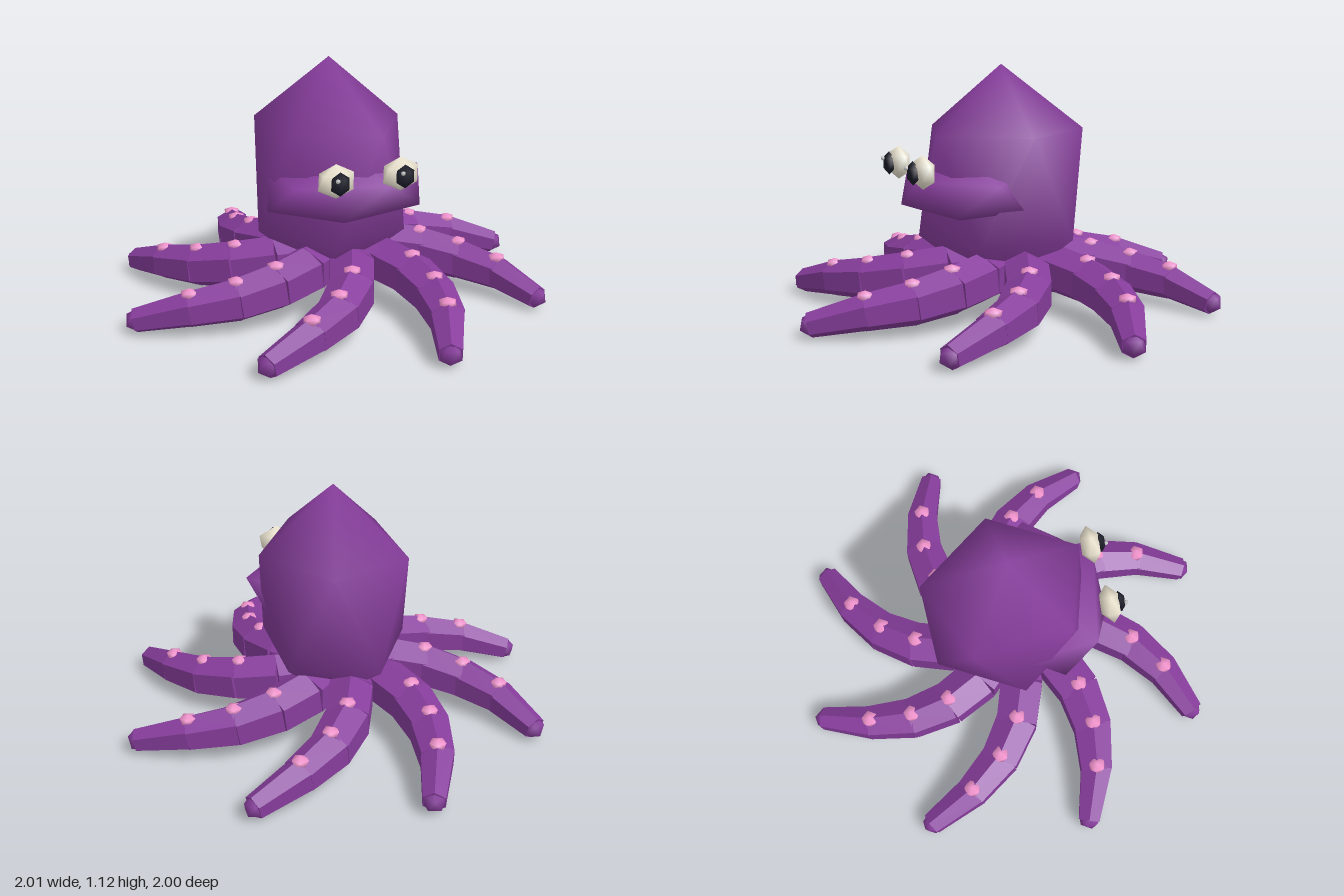
import * as THREE from 'three';

const material = (color, flatShading = false) => new THREE.MeshStandardMaterial({ color, flatShading });
const skin = material(0x873d9c);
const facetedSkin = material(0x873d9c, true);
const pink = material(0xf092cc);
const ivory = material(0xf0e8d4);
const black = material(0x1b1b28);
const white = material(0xffffff);

// Smooth-shaded icosahedron with a corner at each pole
function makeBlob() {
  const points = [0, 1, 0];
  const index = [];
  const ring = 2 / Math.sqrt(5);
  for (const [y, turn] of [[ring / 2, 0], [-ring / 2, Math.PI / 5]]) {
    for (let i = 0; i < 5; i++) {
      const a = turn + (i * Math.PI * 2) / 5;
      points.push(ring * Math.cos(a), y, -ring * Math.sin(a));
    }
  }
  points.push(0, -1, 0);
  for (let i = 0; i < 5; i++) {
    const n = (i + 1) % 5;
    const [u, un, l, ln] = [1 + i, 1 + n, 6 + i, 6 + n];
    index.push(0, u, un, u, l, un, l, ln, un, 11, ln, l);
  }
  const geometry = new THREE.BufferGeometry();
  geometry.setAttribute('position', new THREE.Float32BufferAttribute(points, 3));
  geometry.setIndex(index);
  geometry.computeVertexNormals();
  return geometry;
}

const blobGeometry = makeBlob();

function blob(name, mat, position, radii) {
  const mesh = new THREE.Mesh(blobGeometry, mat);
  mesh.name = name;
  mesh.position.set(...position);
  mesh.scale.set(...radii);
  return mesh;
}

// One arm: tapering six-sided segments that curl clockwise outward
function makeTentacle(angle) {
  const tentacle = new THREE.Group();
  tentacle.name = 'tentacle';
  const distance = [0.1, 0.27, 0.44, 0.61, 0.78, 0.965];
  const height = [0.195, 0.19, 0.167, 0.138, 0.113, 0.06];
  const radius = [0.11, 0.114, 0.11, 0.1, 0.083, 0.056];
  const path = distance.map((r, k) => {
    const a = angle - (k - 1) * 0.16;
    return new THREE.Vector3(r * Math.cos(a), height[k], -r * Math.sin(a));
  });

  // Segments overlap a little so the bends stay closed
  for (let k = 0; k < 5; k++) {
    const length = path[k].distanceTo(path[k + 1]) + 0.02;
    const geometry = new THREE.CylinderGeometry(radius[k + 1], radius[k], length, 6);
    geometry.rotateX(Math.PI / 2);
    const segment = new THREE.Mesh(geometry, facetedSkin);
    segment.name = 'tentacleSegment';
    segment.position.copy(path[k]).lerp(path[k + 1], 0.5);
    segment.lookAt(path[k + 1]);
    tentacle.add(segment);
  }

  // Suckers are sunk into the top of the outer joints
  for (let k = 2; k < 5; k++) {
    const p = path[k];
    tentacle.add(blob('sucker', pink, [p.x, p.y + radius[k] * 0.85, p.z], [0.042, 0.026, 0.042]));
  }
  const tip = path[5];
  tentacle.add(blob('tentacleTip', skin, tip.toArray(), [0.054, 0.054, 0.054]));
  return tentacle;
}

function makeEye(name, x) {
  const eye = new THREE.Group();
  eye.name = name;
  eye.position.set(x, 0.678, 0.443);
  eye.add(
    blob('eyeball', ivory, [0, 0, 0], [0.092, 0.076, 0.052]),
    blob('pupil', black, [0, 0, 0.046], [0.047, 0.053, 0.026]),
    blob('eyeHighlight', white, [-0.02, 0.021, 0.068], [0.011, 0.011, 0.011]),
  );
  return eye;
}

export function createModel() {
  const model = new THREE.Group();
  model.name = 'octopus';

  // Tall head and the wide muzzle pushed through its front
  model.add(
    blob('head', skin, [0, 0.58, 0], [0.386, 0.54, 0.43]),
    blob('muzzle', skin, [0, 0.56, 0.18], [0.408, 0.157, 0.315]),
  );
  model.add(makeEye('leftEye', 0.15), makeEye('rightEye', -0.15));

  // Eight arms around the body
  for (let i = 0; i < 8; i++) model.add(makeTentacle((i * Math.PI) / 4));
  return model;
}
